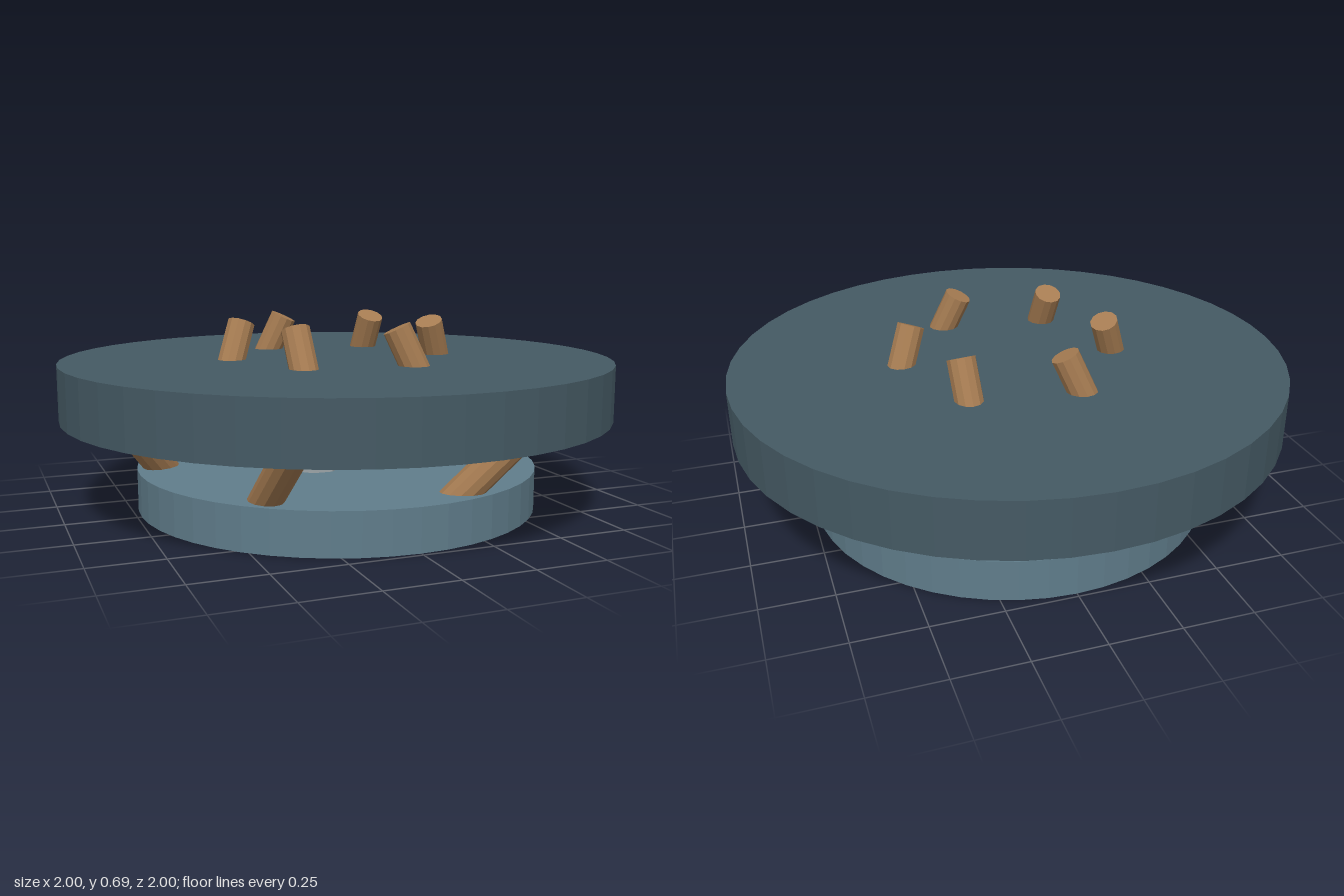
import * as THREE from 'three';

const material = (name, color) => {
  const m = new THREE.MeshStandardMaterial({ color, flatShading: true });
  m.name = name;
  return m;
};

export function createModel() {
  const model = new THREE.Group();
  model.name = 'platform';
  const slate = material('dark slate', 0x455a64);
  const blueGrey = material('blue grey', 0x607d8b);
  const shadowBlue = material('deep slate', 0x37414f);
  const wood = material('wood', 0xa67c52);
  const metal = material('metal', 0x9ea7aa);

  // Upright cylinder standing on the given height
  const disc = (name, mat, radius, bottom, height, sides) => {
    const mesh = new THREE.Mesh(new THREE.CylinderGeometry(radius, radius, height, sides), mat);
    mesh.position.y = bottom + height / 2;
    mesh.name = name;
    model.add(mesh);
    return mesh;
  };

  // Round bar between two points
  const bar = (name, from, to, radius, sides) => {
    const axis = to.clone().sub(from);
    const mesh = new THREE.Mesh(new THREE.CylinderGeometry(radius, radius, axis.length(), sides), wood);
    mesh.position.copy(from).add(to).multiplyScalar(0.5);
    mesh.quaternion.setFromUnitVectors(new THREE.Vector3(0, 1, 0), axis.normalize());
    mesh.name = name;
    model.add(mesh);
  };

  // Point at x, y, z turned about the vertical axis
  const turned = (x, y, z, a) => new THREE.Vector3(
    x * Math.cos(a) - z * Math.sin(a), y, x * Math.sin(a) + z * Math.cos(a));

  // Discs
  disc('base', blueGrey, 0.735, 0, 0.15, 48);
  disc('top', slate, 1, 0.34, 0.2, 48);
  disc('undersidePlate', shadowBlue, 0.58, 0.33, 0.02, 48);

  // Six legs, pegs and nuts around the centre
  for (let i = 0; i < 6; i++) {
    const a = i * Math.PI / 3;
    bar('leg', turned(0.59, 0.09, 0.165, a), turned(0.825, 0.4, -0.025, a), 0.055, 12);
    bar('peg', turned(0.435, 0.4, 0.01, a), turned(0.336, 0.668, 0.087, a), 0.05, 12);
    const nut = disc('nut', metal, 0.085, 0.225, 0.047, 8);
    nut.position.copy(turned(0.467, 0.248, 0, a));
    nut.rotation.y = Math.PI / 8;
  }
  return model;
}
